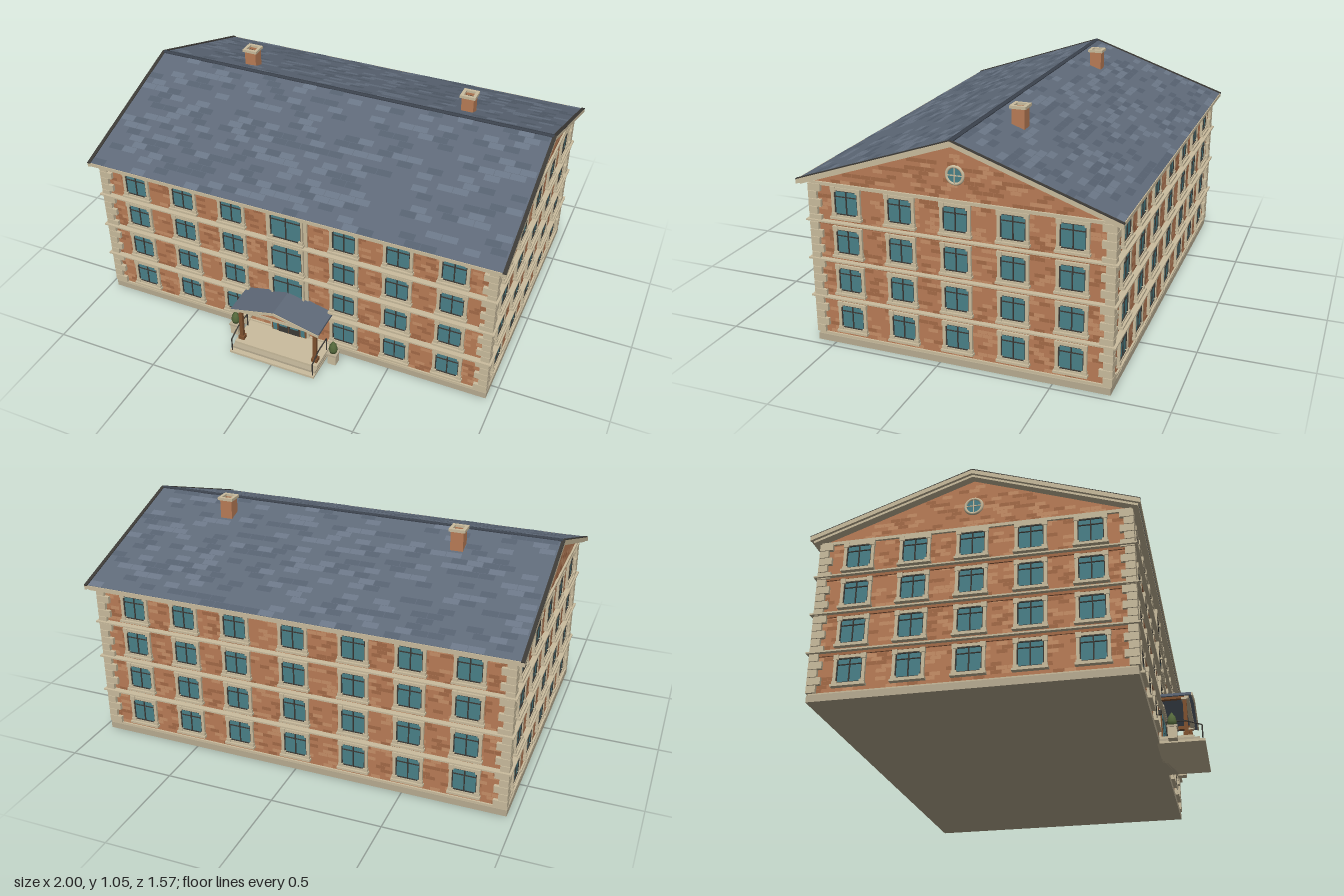
import * as THREE from 'three';
import { mergeGeometries } from 'three/addons/utils/BufferGeometryUtils.js';

const mat = (color, extra = {}) => new THREE.MeshStandardMaterial({ color, ...extra });
const M = {
  brick: mat(0xba7d57), brickDark: mat(0xa56b48), brickLight: mat(0xc89068),
  cream: mat(0xcbbd9e), stone: mat(0xb9ad92), glass: mat(0x4a8189), wood: mat(0x80512f),
  dark: mat(0x3c3a36), slate: mat(0x5f6a79), slateLight: mat(0x6b7787), slateDark: mat(0x566170),
  ridge: mat(0x3a414c), leaf: mat(0x55693c), lamp: mat(0xe6d9b5),
};
// Main dimensions: half width, half depth, wall top, gable top, roof half depth
const HX = 0.95, HZ = 0.655, EAVE = 0.742, APEX = 0.972, RZ = 0.70, CZ = -0.08;
const ROWS = [0.13, 0.307, 0.484, 0.66];

function add(parent, name, geo, material, x = 0, y = 0, z = 0) {
  const m = new THREE.Mesh(geo, material);
  m.name = name;
  m.position.set(x, y, z);
  parent.add(m);
  return m;
}
const box = (parent, name, material, w, h, d, x, y, z) =>
  add(parent, name, new THREE.BoxGeometry(w, h, d), material, x, y, z);
function group(parent, name, x = 0, y = 0, z = 0) {
  const g = new THREE.Group();
  g.name = name;
  g.position.set(x, y, z);
  parent.add(g);
  return g;
}
function prism(points, depth, hole) {
  const s = new THREE.Shape(points.map(p => new THREE.Vector2(p[0], p[1])));
  if (hole) s.holes.push(new THREE.Path(hole.map(p => new THREE.Vector2(p[0], p[1]))));
  return new THREE.ExtrudeGeometry(s, { depth, bevelEnabled: false });
}
const rect = (w, h) => [[-w / 2, -h / 2], [w / 2, -h / 2], [w / 2, h / 2], [-w / 2, h / 2]];
// Inverted-V band following a pitched roof
const chevron = (half, eave, apex, t) =>
  [[-half, eave - t], [0, apex - t], [half, eave - t], [half, eave], [0, apex], [-half, eave]];
function bar(parent, name, material, a, b, r) {
  const p = new THREE.Vector3(...a), q = new THREE.Vector3(...b);
  const m = add(parent, name, new THREE.CylinderGeometry(r, r, p.distanceTo(q), 6), material);
  m.position.copy(p).add(q).multiplyScalar(0.5);
  m.quaternion.setFromUnitVectors(new THREE.Vector3(0, 1, 0), q.sub(p).normalize());
}
let seed = 7;
const rnd = () => (seed = (seed * 16807) % 2147483647) / 2147483647;

// Scattered lighter and darker bricks or slates in staggered courses
function courses(parent, name, limit, y0, y1, bw, bh, light, dark) {
  const sets = [[], []];
  for (let r = 0, y = y0 + bh / 2; y < y1 - bh / 2; r++, y += bh) {
    const half = limit(y + bh / 2);
    for (let x = -half + bw * (r % 2 ? 1 : 0.5); x < half - bw / 2; x += bw) {
      const k = rnd();
      if (k < 0.42) sets[k < 0.2 ? 0 : 1].push(new THREE.PlaneGeometry(bw * 0.97, bh * 0.94).translate(x, y, 0.0012));
    }
  }
  sets.forEach((s, i) => s.length && add(parent, name, mergeGeometries(s), i ? dark : light));
}

// Glazed window with stone surround, corner blocks and sill
function windowUnit(parent, x, y, w, h, rim = 0.013) {
  const g = group(parent, 'window', x, y, 0);
  add(g, 'surround', prism(rect(w + 2 * rim, h + 2 * rim), 0.012, rect(w, h)), M.cream);
  box(g, 'glass', M.glass, w, h, 0.004, 0, 0, 0.002);
  add(g, 'sash', prism(rect(w, h), 0.008, rect(w - 0.008, h - 0.008)), M.dark);
  box(g, 'mullion', M.dark, 0.005, h, 0.007, 0, 0, 0.0045);
  box(g, 'transom', M.dark, w, 0.004, 0.007, 0, h * 0.24, 0.0045);
  box(g, 'sill', M.cream, w + 2 * rim + 0.012, 0.01, 0.022, 0, -h / 2 - rim, 0.011);
  for (const sx of [-1, 1]) for (const sy of [-1, 1])
    box(g, 'cornerBlock', M.cream, 0.022, 0.022, 0.015, sx * (w / 2 + rim - 0.009), sy * (h / 2 + rim - 0.009), 0.0075);
}

function facade(parent, name, angle, dist, limit, top, columns) {
  const turn = group(parent, name);
  turn.rotation.y = angle;
  const f = group(turn, name + 'Face', 0, 0, dist);
  courses(f, 'brickwork', limit, 0.04, top, 0.045, 0.0175, M.brickLight, M.brickDark);
  for (const x of columns) for (const y of ROWS) windowUnit(f, x, y, 0.108, 0.108);
  return f;
}

function buildWalls(b) {
  const body = prism([[-HZ, 0.03], [HZ, 0.03], [HZ, EAVE], [0, APEX], [-HZ, EAVE]], 2 * HX);
  body.translate(0, 0, -HX).rotateY(Math.PI / 2);
  add(b, 'brickWalls', body, M.brick);
  box(b, 'plinth', M.stone, 1.93, 0.03, 1.332, 0, 0.015, 0);
  box(b, 'plinthCourse', M.cream, 1.916, 0.01, 1.326, 0, 0.034, 0);
  for (const y of [0.216, 0.393, 0.57]) {
    box(b, 'floorBand', M.brickDark, 1.914, 0.013, 1.324, 0, y - 0.009, 0);
    box(b, 'floorBandCap', M.cream, 1.95, 0.007, 1.366, 0, y, 0);
  }
  // Eaves band under the roof
  box(b, 'cornice', M.cream, 1.92, 0.014, 1.33, 0, 0.735, 0);
  // Alternating corner stones
  const n = 20, pitch = 0.695 / n;
  for (const sx of [-1, 1]) for (const sz of [-1, 1]) for (let i = 0; i < n; i++) {
    const w = i % 2 ? 0.04 : 0.062, d = i % 2 ? 0.058 : 0.04;
    box(b, 'quoin', M.cream, w, pitch * 0.92, d, sx * (0.965 - w / 2), 0.039 + (i + 0.5) * pitch, sz * (0.671 - d / 2));
  }
  const cols = [-0.775, -0.525, -0.275, 0.275, 0.525, 0.775];
  const front = facade(b, 'frontFacade', 0, HZ, () => HX, EAVE, cols);
  facade(b, 'backFacade', Math.PI, HZ, () => HX, EAVE, [...cols, 0]);
  const gable = y => (y < EAVE ? HZ : HZ * (APEX - y) / (APEX - EAVE));
  for (const s of [-1, 1]) {
    const f = facade(b, s > 0 ? 'leftFacade' : 'rightFacade', s * Math.PI / 2, HX, gable, APEX - 0.01, [-2, -1, 0, 1, 2].map(i => i * 0.2475));
    const o = group(f, 'roundWindow', 0, 0.845, 0);
    add(o, 'roundSurround', new THREE.TorusGeometry(0.036, 0.007, 8, 28), M.cream);
    add(o, 'roundGlass', new THREE.CircleGeometry(0.035, 28), M.glass, 0, 0, 0.003);
    box(o, 'roundMullion', M.cream, 0.004, 0.068, 0.005, 0, 0, 0.004);
    box(o, 'roundTransom', M.cream, 0.068, 0.004, 0.005, 0, 0, 0.004);
  }
  // Stair window panel above the entrance
  box(front, 'stairPanel', M.cream, 0.2, 0.51, 0.008, 0, 0.484, 0.004);
  const stair = group(front, 'stairWindows', 0, 0, 0.008);
  for (const y of ROWS.slice(1)) windowUnit(stair, 0, y, 0.15, 0.135, 0.008);
}

function buildRoof(b) {
  const slab = (t, x, half, eave, apex) =>
    prism(chevron(half, eave, apex, t), 2 * x).translate(0, 0, -x).rotateY(Math.PI / 2);
  add(b, 'roofSlates', slab(0.014, 0.99, RZ, 0.757, 1.0), M.slate);
  add(b, 'roofSoffit', slab(0.014, 0.985, RZ - 0.006, 0.745, 0.986), M.cream);
  for (const s of [-1, 1]) {
    add(b, 'bargeboard', slab(0.02, 0.006, RZ + 0.004, 0.756, 1.0).translate(s * 0.994, 0, 0), M.cream);
    add(b, 'bargeCap', slab(0.005, 0.008, RZ + 0.005, 0.759, 1.003).translate(s * 0.992, 0, 0), M.dark);
    box(b, 'eavesFascia', M.cream, 1.98, 0.016, 0.008, 0, 0.748, s * RZ);
    // Mottled slates on each slope
    const side = group(b, 'slope');
    side.rotation.y = s > 0 ? 0 : Math.PI;
    const face = group(side, 'slopeFace', 0, 1.0, 0);
    const a = Math.atan2(0.243, RZ);
    face.rotation.x = a - Math.PI / 2;
    courses(face, 'slates', () => 0.983, -Math.hypot(0.243, RZ), 0, 0.07, 0.035, M.slateLight, M.slateDark);
    // Hollow capped chimney
    const c = group(b, 'chimney', s * 0.56, 0, -0.13);
    const tube = (w, hole, h) => prism(rect(w, w), h, rect(hole, hole)).rotateX(-Math.PI / 2);
    add(c, 'chimneyStack', tube(0.058, 0.04, 0.12), M.brick, 0, 0.915, 0);
    add(c, 'chimneyCap', tube(0.074, 0.044, 0.013), M.cream, 0, 1.033, 0);
    box(c, 'flue', M.dark, 0.043, 0.01, 0.043, 0, 1.018, 0);
  }
  add(b, 'ridgeCap', slab(0.006, 0.99, 0.012, 1.0, 1.004), M.ridge);
}

function buildEntrance(root) {
  const e = group(root, 'entrance');
  const z0 = HZ + CZ;
  // Landing and steps
  [[0.785, 0.011], [0.762, 0.022], [0.738, 0.033]].forEach(([z, h], i) =>
    box(e, 'step', i % 2 ? M.stone : M.cream, 0.43 - i * 0.004, h, z - z0, 0, h / 2, (z + z0) / 2));
  // Double door with top light
  const d = group(e, 'door', 0, 0.033, z0);
  box(d, 'doorSurround', M.cream, 0.2, 0.18, 0.012, 0, 0.09, 0.006);
  box(d, 'doorFrame', M.wood, 0.178, 0.168, 0.012, 0, 0.084, 0.012);
  box(d, 'topLight', M.glass, 0.16, 0.024, 0.004, 0, 0.15, 0.018);
  for (const s of [-1, 1]) {
    box(d, 'sideLight', M.glass, 0.02, 0.125, 0.004, s * 0.072, 0.066, 0.018);
    box(d, 'doorLeaf', M.dark, 0.052, 0.13, 0.006, s * 0.028, 0.066, 0.018);
    box(d, 'doorGlass', M.glass, 0.04, 0.085, 0.004, s * 0.028, 0.08, 0.021);
    box(d, 'handle', M.cream, 0.003, 0.03, 0.006, s * 0.006, 0.066, 0.024);
    box(d, 'noticeBoard', M.lamp, 0.028, 0.032, 0.006, s * 0.138, 0.085, 0.005);
    box(d, 'wallLamp', M.dark, 0.012, 0.022, 0.022, s * 0.138, 0.145, 0.011);
    // Porch post
    box(e, 'postBase', M.wood, 0.028, 0.02, 0.028, s * 0.188, 0.043, 0.705);
    box(e, 'porchPost', M.wood, 0.017, 0.185, 0.017, s * 0.188, 0.125, 0.705);
    box(e, 'postHead', M.cream, 0.028, 0.01, 0.028, s * 0.188, 0.213, 0.705);
    box(e, 'sideBeam', M.wood, 0.018, 0.016, 0.15, s * 0.188, 0.222, 0.65);
    // Handrail
    const x = s * 0.206;
    const path = [[x, 0.011, 0.775], [x, 0.078, 0.775], [x, 0.102, 0.705], [x, 0.102, 0.62], [x, 0.033, 0.62]];
    for (let i = 0; i < 4; i++) bar(e, 'handrail', M.dark, path[i], path[i + 1], 0.003);
    // Planter with clipped shrub
    const p = group(e, 'planter', s * 0.253, 0, 0.648);
    box(p, 'planterBox', M.cream, 0.04, 0.055, 0.04, 0, 0.0275, 0);
    box(p, 'planterRim', M.stone, 0.048, 0.01, 0.048, 0, 0.056, 0);
    const pts = [[0, 0.058], [0.016, 0.062], [0.021, 0.08], [0.016, 0.105], [0, 0.128]].map(q => new THREE.Vector2(...q));
    add(p, 'shrub', new THREE.LatheGeometry(pts, 10), M.leaf);
  }
  box(e, 'frontBeam', M.cream, 0.4, 0.016, 0.02, 0, 0.222, 0.715);
  // Pitched canopy
  add(e, 'pediment', prism([[-0.19, 0.225], [0.19, 0.225], [0, 0.268]], 0.012), M.brick, 0, 0, 0.71);
  add(e, 'canopyRoof', prism(chevron(0.22, 0.232, 0.284, 0.012), 0.74 - z0), M.slate, 0, 0, z0);
  add(e, 'canopyTrim', prism(chevron(0.222, 0.23, 0.282, 0.014), 0.006), M.cream, 0, 0, 0.737);
}

export function createModel() {
  const root = new THREE.Group();
  root.name = 'apartmentBuilding';
  const b = group(root, 'building', 0, 0, CZ);
  buildWalls(b);
  buildRoof(b);
  buildEntrance(root);
  return root;
}
